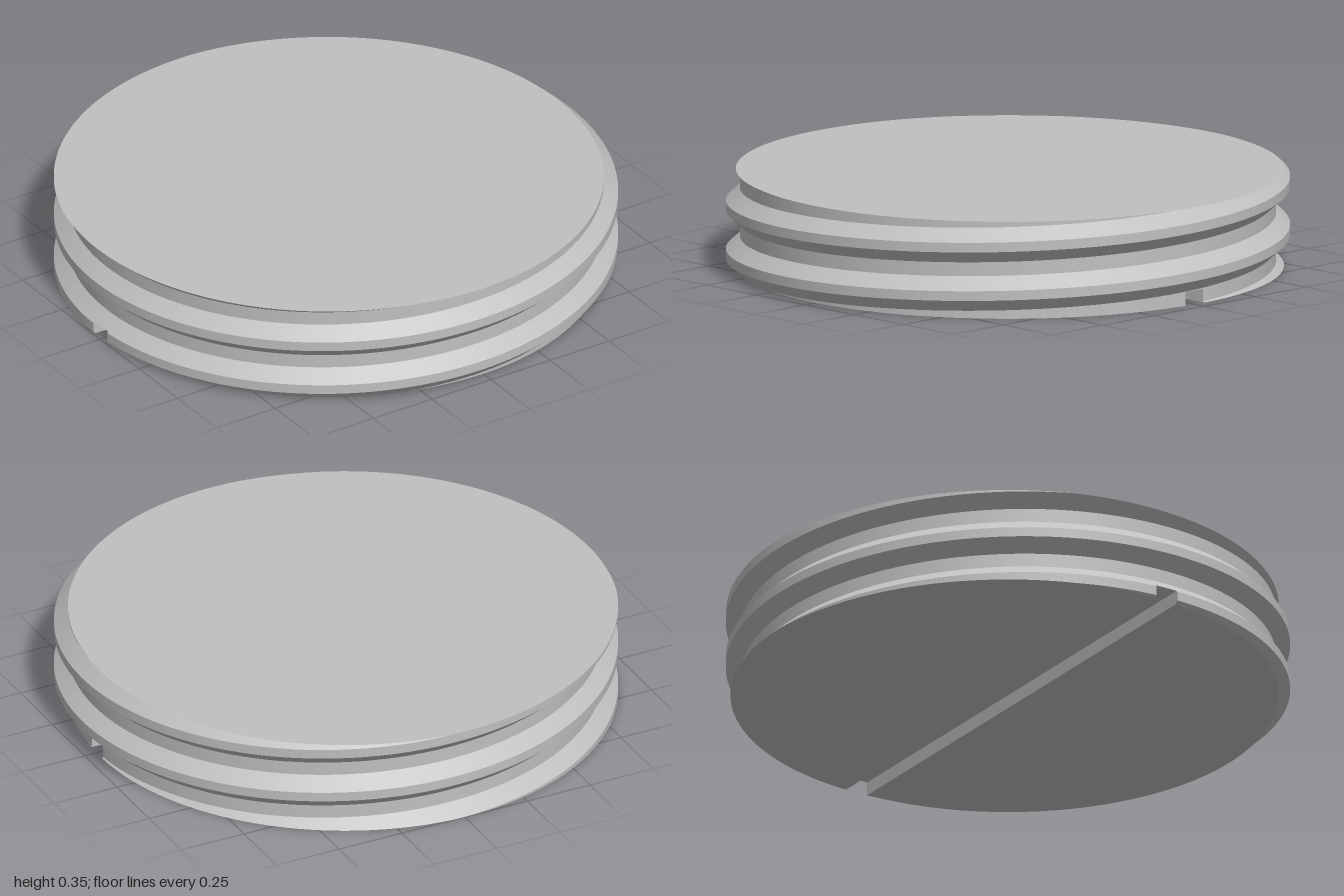
import * as THREE from 'three';

const HEIGHT = 0.35, PITCH = 0.175, CREST = 0.0175, ROOT = 0.0625;
const OUTER = 1, INNER = 0.95, SLOT_Z = 0.044, SLOT_Y = 0.05;
const TAU = Math.PI * 2;

// Height of a thread crest at an angle, where x = cos and z = sin
const crestY = (t) => 0.29 - PITCH * t / TAU;

// Radius of the threaded surface at a height and angle
function radius(y, t) {
  const turns = (y - crestY(t)) / PITCH;
  const d = Math.abs(turns - Math.round(turns)) * PITCH;
  return THREE.MathUtils.mapLinear(THREE.MathUtils.clamp(d, CREST, ROOT), CREST, ROOT, OUTER, INNER);
}

// Point on the rim; slot-edge columns are snapped to the slot walls
function rimPoint(col, y) {
  const r = radius(y, col.t);
  if (!col.edge) return new THREE.Vector3(r * Math.cos(col.t), y, r * Math.sin(col.t));
  const z = Math.sign(Math.sin(col.t)) * SLOT_Z;
  return new THREE.Vector3(Math.sign(Math.cos(col.t)) * Math.sqrt(r * r - z * z), y, z);
}

// Collects triangles, turning each one to face along its normal
class Surface {
  constructor() { this.pos = []; this.nor = []; }
  tri(p, n) {
    const cross = p[1].clone().sub(p[0]).cross(p[2].clone().sub(p[0]));
    if (cross.length() < 1e-9) return;
    const order = cross.dot(n[0]) < 0 ? [0, 2, 1] : [0, 1, 2];
    for (const i of order) {
      this.pos.push(...p[i].toArray());
      this.nor.push(...n[i].toArray());
    }
  }
  quad(a, b, c, d, na, nb = na) {
    this.tri([a, b, c], [na, nb, nb]);
    this.tri([a, c, d], [na, nb, na]);
  }
  mesh(name, material) {
    const g = new THREE.BufferGeometry();
    g.setAttribute('position', new THREE.Float32BufferAttribute(this.pos, 3));
    g.setAttribute('normal', new THREE.Float32BufferAttribute(this.nor, 3));
    const m = new THREE.Mesh(g, material);
    m.name = name;
    return m;
  }
}

export function createModel() {
  const group = new THREE.Group();
  group.name = 'threadedPlug';
  const metal = new THREE.MeshStandardMaterial({ color: 0xc0c0c0 });
  metal.name = 'grey metal';

  const rim = new Surface(), top = new Surface(), bottom = new Surface(), slot = new Surface();
  const up = new THREE.Vector3(0, 1, 0), down = new THREE.Vector3(0, -1, 0);
  const s = (OUTER - INNER) / (ROOT - CREST);

  // One thread turn: crest, upper flank, root, lower flank [from, to, slope]
  const bands = [
    [-CREST, CREST, 0], [CREST, ROOT, -s],
    [ROOT, PITCH - ROOT, 0], [PITCH - ROOT, PITCH - CREST, s],
  ];

  // Four arcs round the rim: slot end, front half, slot end, back half
  const a = Math.asin(SLOT_Z);
  const arcs = [
    [-a, a, 6, SLOT_Y], [a, Math.PI - a, 180, 0],
    [Math.PI - a, Math.PI + a, 6, SLOT_Y], [Math.PI + a, TAU - a, 180, 0],
  ];

  for (const [t0, t1, n, low] of arcs) {
    const cols = Array.from({ length: n + 1 }, (_, i) => ({ t: t0 + (t1 - t0) * i / n, edge: i === 0 || i === n }));
    const mid = (t0 + t1) / 2;
    const hub = low ? null : new THREE.Vector3(0, 0, Math.sign(Math.sin(mid)) * SLOT_Z);
    for (let i = 0; i < n; i++) {
      const p = cols[i], q = cols[i + 1];

      // Helical thread bands, trimmed by the top and bottom
      for (let k = -3; k <= 3; k++) {
        for (const [from, to, slope] of bands) {
          const at = (c, off) => rimPoint(c, THREE.MathUtils.clamp(crestY(c.t) + k * PITCH + off, low, HEIGHT));
          const normal = (c) => new THREE.Vector3(Math.cos(c.t), -slope, Math.sin(c.t)).normalize();
          rim.quad(at(p, from), at(q, from), at(q, to), at(p, to), normal(p), normal(q));
        }
      }

      // Top disc
      top.tri([new THREE.Vector3(0, HEIGHT, 0), rimPoint(p, HEIGHT), rimPoint(q, HEIGHT)], [up, up, up]);

      // Bottom halves, or the slot roof out to its end
      const u = rimPoint(p, low), v = rimPoint(q, low);
      if (hub) bottom.tri([hub, u, v], [down, down, down]);
      else slot.quad(u, v, v.clone().setX(0), u.clone().setX(0), down);
    }
  }

  // Slot walls, with ends that follow the thread
  const steps = 16;
  for (const side of [1, -1]) {
    const facing = new THREE.Vector3(0, 0, -side);
    const ends = [side * a, Math.PI - side * a].map((t) => ({ t, edge: true }));
    for (let i = 0; i < steps; i++) {
      const y0 = SLOT_Y * i / steps, y1 = SLOT_Y * (i + 1) / steps;
      slot.quad(rimPoint(ends[0], y0), rimPoint(ends[1], y0), rimPoint(ends[1], y1), rimPoint(ends[0], y1), facing);
    }
  }

  group.add(rim.mesh('threadedRim', metal), top.mesh('topFace', metal),
    bottom.mesh('bottomFace', metal), slot.mesh('screwdriverSlot', metal));
  return group;
}
